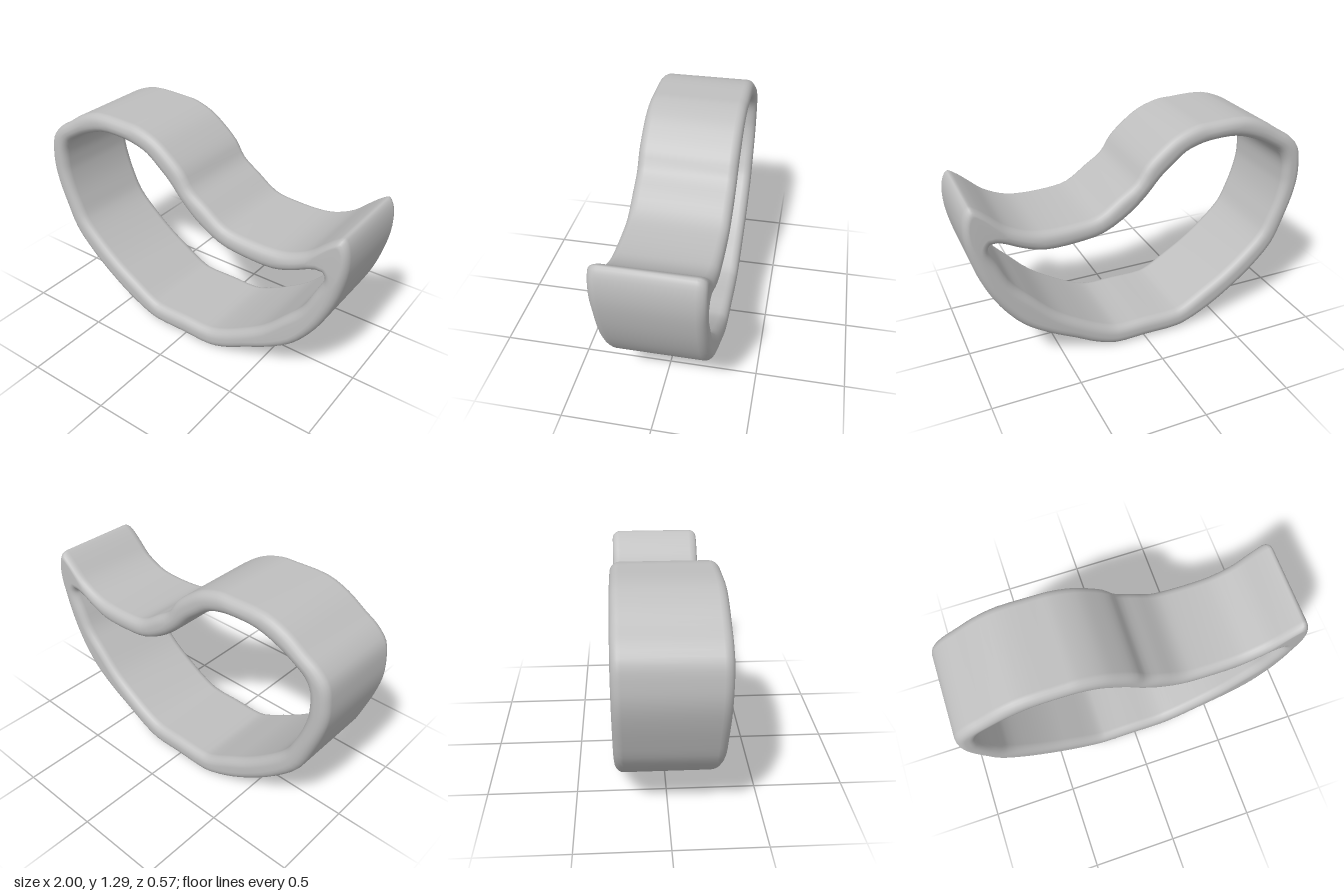
import * as THREE from 'three';

// Matching stations round the outer and inner outlines, as x, y pairs
const OUTER = [
  -.21, 0, 0, 0, .19, 0, .31, .04, .44, .11, .59, .19, .73, .29, .85, .44, .93, .60, .98, .76,
  1, .89, .99, 1, .96, 1.05, .92, 1.03, .86, .98, .78, .91, .68, .86, .59, .84, .40, .84, .28, .86,
  .16, .94, .06, 1.01, 0, 1.10, -.09, 1.18, -.18, 1.24, -.30, 1.28, -.39, 1.285, -.60, 1.285, -.73, 1.24, -.84, 1.17,
  -.92, 1.12, -.98, 1.05, -1, .94, -1, .85, -.98, .75, -.93, .60, -.86, .44, -.72, .29, -.58, .18, -.44, .09, -.29, .02,
];
const INNER = [
  -.20, .12, 0, .12, .17, .12, .26, .15, .39, .22, .54, .32, .67, .45, .77, .56, .83, .68, .87, .76,
  .88, .79, .875, .81, .865, .82, .85, .82, .83, .82, .78, .80, .70, .76, .59, .725, .40, .725, .25, .75,
  .09, .84, -.01, .93, -.09, 1.02, -.16, 1.08, -.24, 1.14, -.33, 1.17, -.40, 1.18, -.55, 1.18, -.68, 1.14, -.78, 1.09,
  -.85, 1.04, -.885, .97, -.89, .88, -.885, .82, -.86, .72, -.82, .62, -.77, .52, -.65, .40, -.51, .29, -.38, .21, -.26, .14,
];
const HALF_DEPTH = 0.283, ROUND = 0.05, ARC_STEPS = 5, STEPS = 3;

function closedCurve(pairs) {
  const points = [];
  for (let i = 0; i < pairs.length; i += 2) points.push(new THREE.Vector3(pairs[i], pairs[i + 1], 0));
  return new THREE.CatmullRomCurve3(points, true, 'centripetal');
}

// Rounded section between an outer and an inner point, ordered outer front, inner front, inner back, outer back
function section(outer, inner) {
  const width = outer.distanceTo(inner);
  const radius = Math.min(ROUND, width * 0.46);
  const ring = [];
  for (let corner = 0; corner < 4; corner++) {
    const towardInner = corner === 1 || corner === 2;
    const side = corner < 2 ? 1 : -1;
    for (let k = 0; k <= ARC_STEPS; k++) {
      const turn = k / ARC_STEPS * Math.PI / 2;
      const angle = corner % 2 === 0 ? turn : Math.PI / 2 - turn;
      const inset = radius * (1 - Math.cos(angle));
      const t = (towardInner ? width - inset : inset) / width;
      const z = side * (HALF_DEPTH - ROUND * (1 - Math.sin(angle)));
      const p = outer.clone().lerp(inner, t);
      ring.push(p.x, p.y, z);
    }
  }
  return ring;
}

// Closed loft through all the sections
function bandGeometry() {
  const outer = closedCurve(OUTER), inner = closedCurve(INNER);
  const count = OUTER.length / 2 * STEPS, ringSize = 4 * (ARC_STEPS + 1);
  const positions = [], index = [];
  for (let i = 0; i < count; i++) {
    positions.push(...section(outer.getPoint(i / count), inner.getPoint(i / count)));
    const here = i * ringSize, next = (i + 1) % count * ringSize;
    for (let j = 0; j < ringSize; j++) {
      const k = (j + 1) % ringSize;
      index.push(here + j, next + j, next + k, here + j, next + k, here + k);
    }
  }
  const geometry = new THREE.BufferGeometry();
  geometry.setAttribute('position', new THREE.Float32BufferAttribute(positions, 3));
  geometry.setIndex(index);
  geometry.computeVertexNormals();
  return geometry;
}

export function createModel() {
  const grey = new THREE.MeshStandardMaterial({ color: 0xbfbfbf });
  grey.name = 'grey';
  const band = new THREE.Mesh(bandGeometry(), grey);
  band.name = 'curvedBand';
  const group = new THREE.Group();
  group.name = 'curvedRing';
  group.add(band);
  return group;
}
